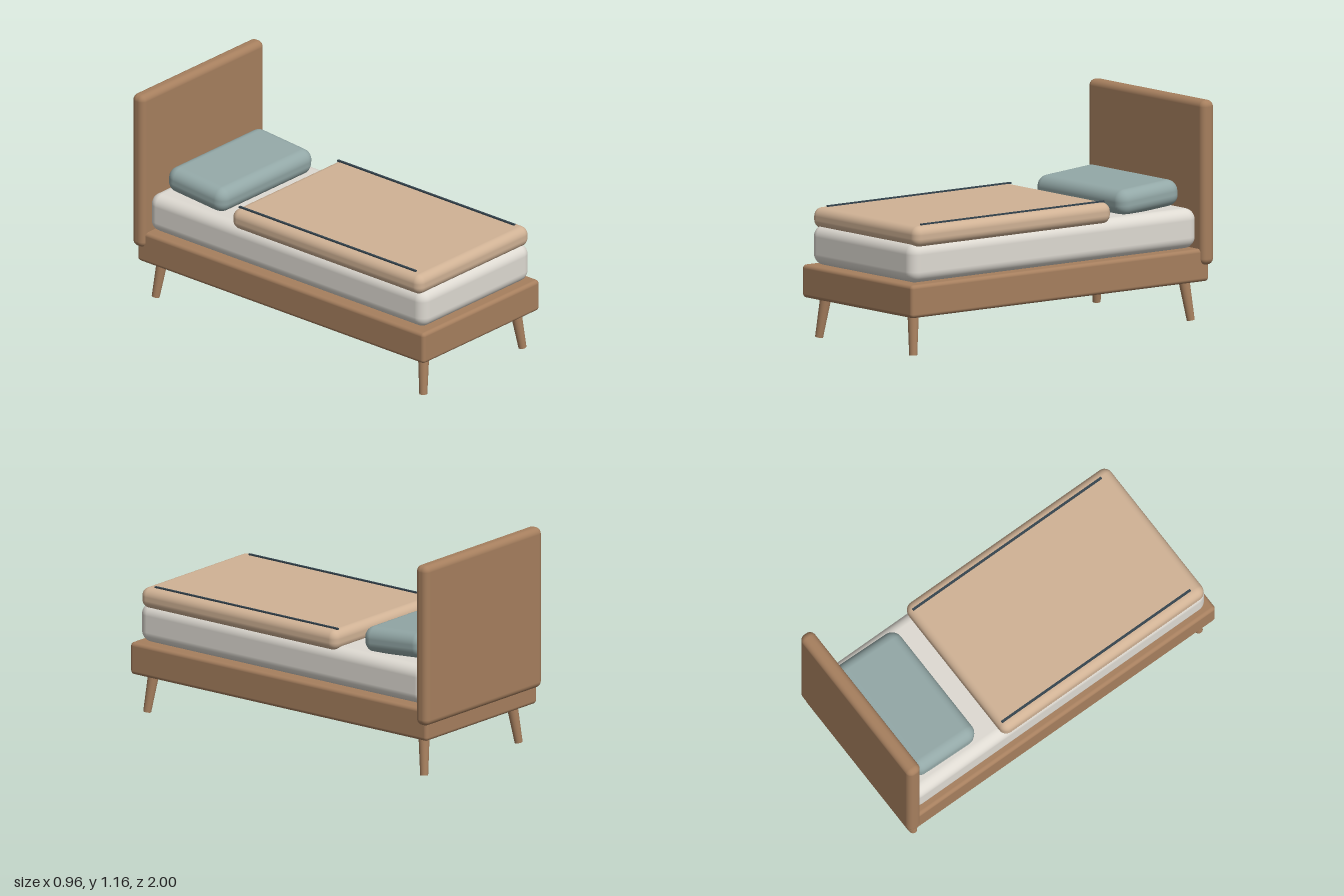
import * as THREE from 'three';
import { RoundedBoxGeometry } from 'three/addons/geometries/RoundedBoxGeometry.js';

function material(name, color) {
  const m = new THREE.MeshStandardMaterial({ color });
  m.name = name;
  return m;
}

export function createModel() {
  const wood = material('wood', 0xa67f5e);
  const linen = material('linen', 0xdedad2);
  const tan = material('tan blanket', 0xd0b295);
  const sage = material('sage', 0x93a8a7);
  const slate = material('slate trim', 0x36454f);

  const bed = new THREE.Group();
  bed.name = 'bed';

  // Rounded block given by half width and its y and z ranges
  function block(name, mat, halfX, [y0, y1], [z0, z1], radius) {
    const mesh = new THREE.Mesh(
      new RoundedBoxGeometry(halfX * 2, y1 - y0, z1 - z0, 5, radius), mat);
    mesh.position.set(0, (y0 + y1) / 2, (z0 + z1) / 2);
    mesh.name = name;
    bed.add(mesh);
    return mesh;
  }

  block('frame', wood, 0.457, [0.211, 0.384], [-0.98, 1], 0.02);
  block('headboard', wood, 0.481, [0.298, 1.163], [-1, -0.918], 0.034);
  block('mattress', linen, 0.428, [0.384, 0.594], [-0.935, 0.972], 0.06);
  block('blanket', tan, 0.437, [0.573, 0.683], [-0.355, 0.955], 0.045);

  // Pillow, its back edge raised slightly
  const pillow = block('pillow', sage, 0.367, [0.592, 0.732], [-0.87, -0.467], 0.06);
  pillow.rotation.x = 0.08;

  // Thin trim lines along the blanket edges
  for (const side of [-1, 1]) {
    const trim = new THREE.Mesh(new THREE.BoxGeometry(0.012, 0.009, 1.22), slate);
    trim.position.set(side * 0.386, 0.686, 0.276);
    trim.name = side > 0 ? 'leftTrim' : 'rightTrim';
    bed.add(trim);
  }

  // Tapered legs splayed outwards towards the corners
  const up = new THREE.Vector3(0, 1, 0);
  for (const sx of [-1, 1]) {
    for (const [end, sz, topZ, footZ] of [['front', 1, 0.914, 0.938], ['back', -1, 0.884, 0.909]]) {
      const foot = new THREE.Vector3(sx * 0.389, 0.004, sz * footZ);
      const top = new THREE.Vector3(sx * 0.359, 0.23, sz * topZ);
      const axis = top.clone().sub(foot);
      const leg = new THREE.Mesh(
        new THREE.CylinderGeometry(0.03, 0.021, axis.length(), 24), wood);
      leg.position.copy(foot).add(top).multiplyScalar(0.5);
      leg.quaternion.setFromUnitVectors(up, axis.normalize());
      leg.name = `${end}${sx > 0 ? 'Left' : 'Right'}Leg`;
      bed.add(leg);
    }
  }
  return bed;
}
